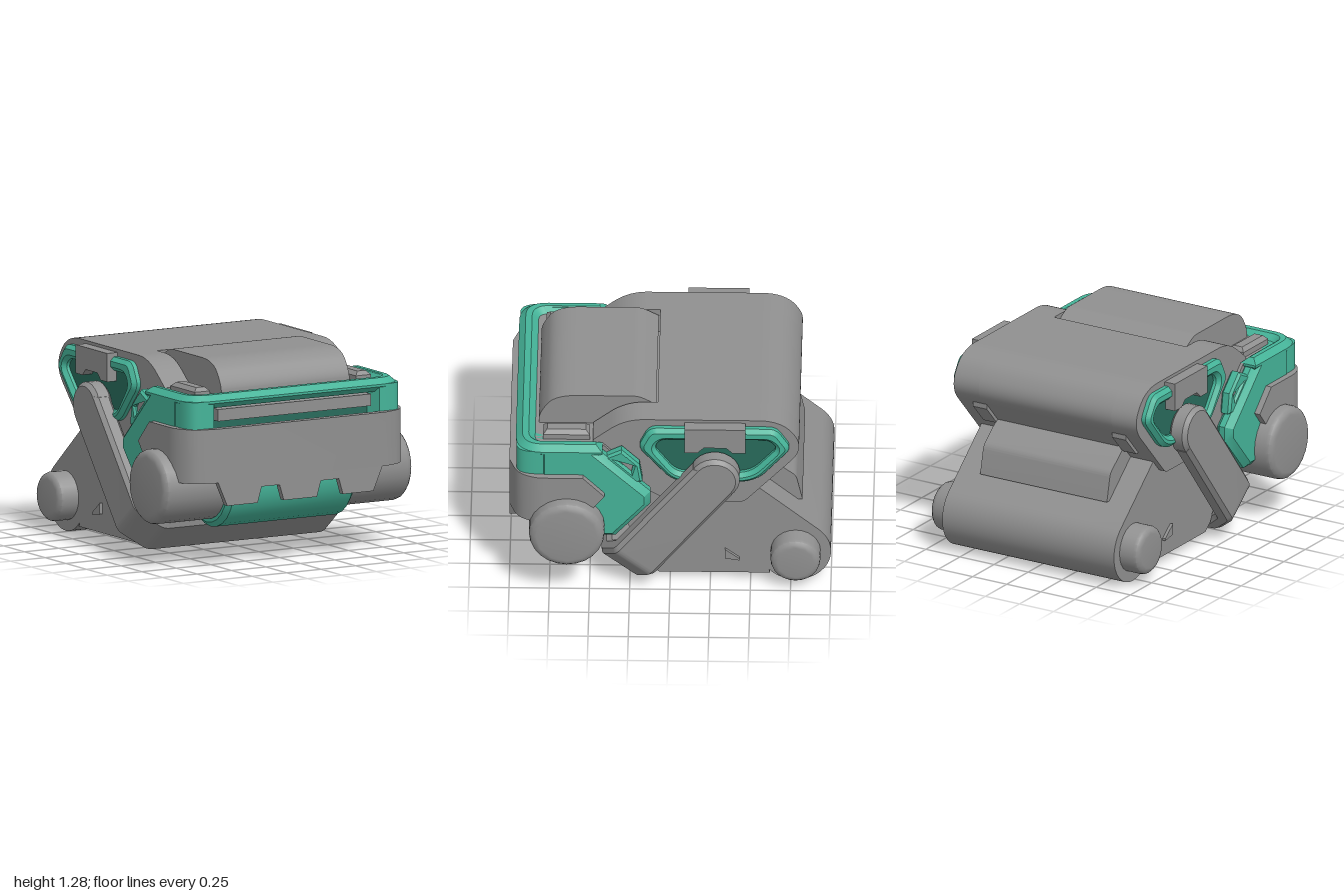
import * as THREE from 'three';
import { toCreasedNormals } from 'three/addons/utils/BufferGeometryUtils.js';

const paint = (name, color) => {
  const m = new THREE.MeshStandardMaterial({ color });
  m.name = name;
  return m;
};

// Closed outline from [a, b, cornerRadius] points
function trace(target, pts) {
  const n = pts.length;
  pts.forEach((p, i) => {
    const toward = (q) => {
      const len = Math.hypot(q[0] - p[0], q[1] - p[1]);
      const k = Math.min((p[2] || 0) / len, 0.48);
      return [p[0] + (q[0] - p[0]) * k, p[1] + (q[1] - p[1]) * k];
    };
    const a = toward(pts[(i + n - 1) % n]);
    if (i) target.lineTo(...a); else target.moveTo(...a);
    if (p[2]) target.quadraticCurveTo(p[0], p[1], ...toward(pts[(i + 1) % n]));
  });
  target.closePath();
  return target;
}
const outline = (pts) => trace(new THREE.Shape(), pts);
const disc = (z, y, r) => new THREE.Shape().absarc(z, y, r, 0, Math.PI * 2);

function extrude(shape, length, bevel = 0, rise = bevel, segments = 1) {
  return new THREE.ExtrudeGeometry(shape, {
    depth: length - 2 * rise, bevelEnabled: bevel > 0, bevelSize: bevel, bevelOffset: -bevel,
    bevelThickness: rise, bevelSegments: segments, curveSegments: 12,
  }).translate(0, 0, rise - length / 2);
}

export function createModel() {
  const gray = paint('gray', 0x909090);
  const teal = paint('teal', 0x45b398);
  const darkTeal = paint('dark teal', 0x286a5b);
  const model = new THREE.Group();

  const add = (name, geometry, material, parent = model) => {
    const mesh = new THREE.Mesh(toCreasedNormals(geometry, 0.55), material);
    mesh.name = name;
    parent.add(mesh);
    return mesh;
  };
  // Side profile (z, y) extruded across x0..x1
  const slab = (name, shape, x0, x1, mat, bevel = 0, segments = 1) =>
    add(name, extrude(shape, x1 - x0, bevel, bevel, segments)
      .rotateY(-Math.PI / 2).translate((x0 + x1) / 2, 0, 0), mat);
  const pair = (name, shape, x0, x1, mat, bevel = 0) => {
    slab(name + 'Left', shape, x0, x1, mat, bevel);
    slab(name + 'Right', shape, -x1, -x0, mat, bevel);
  };
  // Plan (x, z) extruded over y0..y1
  const plan = (name, shape, y0, y1, mat, bevel = 0, rise = bevel) =>
    add(name, extrude(shape, y1 - y0, bevel, rise)
      .rotateX(Math.PI / 2).translate(0, (y0 + y1) / 2, 0), mat);

  // Upper housing: centre section and two forward arms
  slab('upperHousing', outline([[0.08, 1.25], [-0.7, 1.25, 0.15], [-0.84, 1.04, 0.13],
    [-0.46, 0.625, 0.03], [0, 0.625], [0.3, 0.8], [0.3, 1.08], [0.08, 1.08]]), -0.486, 0.486, gray);
  pair('housingArm', outline([[0.28, 1.25, 0.12], [-0.7, 1.25, 0.15], [-0.84, 1.04, 0.13],
    [-0.46, 0.625, 0.03], [0, 0.625], [0.3, 0.8], [0.48, 1.0], [0.48, 1.09]]), 0.485, 0.67, gray);
  slab('frontLid', outline([[0.09, 1.22], [0.2, 1.28, 0.04], [0.72, 1.28, 0.14],
    [0.82, 1.14, 0.1], [0.82, 1.04], [0.13, 1.04], [0.13, 1.2]]), -0.465, 0.465, gray);
  pair('rearRib', outline([[-0.75, 0.96], [-0.75, 0.91], [-0.63, 0.78], [-0.58, 0.78]]), 0.46, 0.56, gray);

  // Lower housing with rounded tail and rear step
  const lower = new THREE.Shape();
  lower.moveTo(0.07, 0.05);
  lower.lineTo(-0.62, 0.05);
  lower.absarc(-0.78, 0.22, 0.22, -0.72, -Math.PI - 0.88, true);
  lower.lineTo(-0.5, 0.75);
  lower.lineTo(0.1, 0.75);
  lower.lineTo(0.3, 0.5);
  lower.lineTo(0.13, 0.1);
  lower.closePath();
  slab('lowerHousing', lower, -0.63, 0.63, gray);
  slab('rearStep', outline([[-0.5, 0.74], [-0.6, 0.82], [-0.78, 0.68, 0.03], [-0.82, 0.5],
    [-0.7, 0.5]]), -0.465, 0.465, gray);
  slab('rearAxle', disc(-0.78, 0.225, 0.155), -0.765, 0.765, gray, 0.04, 3);
  pair('sideNub', outline([[-0.34, 0.24], [-0.34, 0.17], [-0.43, 0.155], [-0.43, 0.17]]), 0.62, 0.65, gray);

  // Tilted carrying bar
  const bar = new THREE.Group();
  bar.name = 'carryBar';
  bar.position.set(0, 0.87, -0.28);
  bar.rotation.x = -0.67;
  model.add(bar);
  add('barLoop', extrude(outline([[0.8, 0], [0.8, -0.82, 0.04], [0.64, -0.97, 0.04], [-0.64, -0.97, 0.04],
    [-0.8, -0.82, 0.04], [-0.8, 0], [-0.68, 0], [-0.68, -0.79], [-0.6, -0.87], [0.6, -0.87],
    [0.68, -0.79], [0.68, 0]]), 0.31, 0.025), gray, bar);
  for (const s of [-1, 1]) {
    add('barPivot', extrude(disc(0, 0, 0.155), 0.13, 0.025)
      .rotateY(-Math.PI / 2).translate(s * 0.735, 0, 0), gray, bar);
  }

  // Side vents: frame, recessed panel and clip
  const vent = outline([[0.13, 1.205, 0.05], [-0.66, 1.205, 0.05], [-0.755, 1.06, 0.05],
    [-0.53, 0.8, 0.1], [-0.02, 0.8, 0.08], [0.2, 1.06, 0.05]]);
  const opening = [[0.06, 1.12, 0.04], [-0.62, 1.12, 0.04], [-0.67, 1.06, 0.04],
    [-0.5, 0.87, 0.08], [-0.04, 0.87, 0.06], [0.1, 1.06, 0.04]];
  vent.holes.push(trace(new THREE.Path(), opening));
  pair('ventFrame', vent, 0.64, 0.722, teal, 0.025);
  pair('ventPanel', outline(opening.map(([z, y, r]) => [z * 1.05, y, r])), 0.669, 0.676, darkTeal);
  pair('ventClip', outline([[-0.09, 1.23], [-0.47, 1.23], [-0.47, 1.05], [-0.39, 1.05], [-0.35, 1.09],
    [-0.21, 1.09], [-0.17, 1.05], [-0.09, 1.05]]), 0.66, 0.745, gray);

  // Front core and deck
  slab('frontCore', outline([[0.86, 1.07], [0.86, 0.5], [0.45, 0.45], [0.2, 0.65], [0.2, 0.85],
    [0.42, 1.07]]), -0.69, 0.69, gray);
  for (const s of [-1, 1]) {
    const x = s * 0.585;
    plan('deckPad', outline([[x - 0.055, 0.5], [x + 0.055, 0.5], [x + 0.055, 0.79], [x - 0.055, 0.79]]),
      1.04, 1.13, gray, 0.025);
  }

  // Teal bumper: rim, corners and side cheeks
  plan('bumperRim', outline([[0.78, 0.42], [0.78, 0.96, 0.18], [-0.78, 0.96, 0.18], [-0.78, 0.42],
    [-0.67, 0.42], [-0.67, 0.84, 0.06], [0.67, 0.84, 0.06], [0.67, 0.42]]), 1.02, 1.105, teal, 0.04, 0.035);
  for (const s of [-1, 1]) {
    plan('bumperCorner', outline([[0.775, 0.68], [0.775, 0.955, 0.17], [0.6, 0.955], [0.56, 0.86],
      [0.66, 0.68]].map(([x, z, r]) => [s * x, z, r])), 0.7, 1.07, teal);
  }
  pair('bumperCheek', outline([[0.82, 1.1], [0.48, 1.1], [0.12, 0.75], [0.12, 0.66], [0.34, 0.41],
    [0.52, 0.41], [0.6, 0.8], [0.82, 0.8]]), 0.66, 0.78, teal, 0.04);
  const bracket = outline([[0.42, 1.0], [0.3, 1.06], [0.19, 0.95], [0.17, 0.82], [0.26, 0.8]]);
  bracket.holes.push(trace(new THREE.Path(), [[0.34, 0.99], [0.29, 1.01], [0.23, 0.94], [0.24, 0.89]]));
  pair('cheekBracket', bracket, 0.67, 0.745, teal, 0.015);
  pair('bracketInset', outline([[0.34, 0.99], [0.29, 1.01], [0.23, 0.94], [0.24, 0.89]]), 0.68, 0.72, gray);

  // Front slot and grille strip
  const slot = outline([[0.868, 1.04], [0.86, 1.04], [0.86, 0.8], [0.868, 0.8]]);
  slab('slotBack', slot, -0.62, 0.62, darkTeal);
  slab('slotStrip', outline([[0.93, 1.01], [0.86, 1.01], [0.86, 0.935], [0.93, 0.935]]), -0.555, 0.555, gray);

  // Front armour: wrapped band, notched plate and pointed ends
  plan('armourBand', outline([[0.82, 0.6], [0.82, 0.84, 0.06], [0.76, 0.95, 0.06], [0.62, 1.0],
    [-0.62, 1.0], [-0.76, 0.95, 0.06], [-0.82, 0.84, 0.06], [-0.82, 0.6], [-0.76, 0.6], [-0.76, 0.82],
    [-0.6, 0.95], [0.6, 0.95], [0.76, 0.82], [0.76, 0.6]]), 0.56, 0.9, gray);
  const half = [[0.12, 0.41], [0.15, 0.51], [0.28, 0.51], [0.31, 0.41], [0.53, 0.41], [0.6, 0.57]];
  add('armourPlate', extrude(outline([...half, ...half.map(([x, y]) => [-x, y]).reverse()]), 0.04)
    .translate(0, 0, 0.98), gray);
  pair('armourEnd', outline([[0.62, 0.9], [0.54, 0.9], [0.405, 0.76], [0.52, 0.62], [0.62, 0.56]]),
    0.76, 0.82, gray);

  // Front roller and wheels
  slab('frontRoller', disc(0.64, 0.5, 0.28), -0.465, 0.465, teal, 0.03);
  slab('frontWheels', disc(0.64, 0.508, 0.235), -0.9, 0.9, gray, 0.045, 3);

  return model;
}
